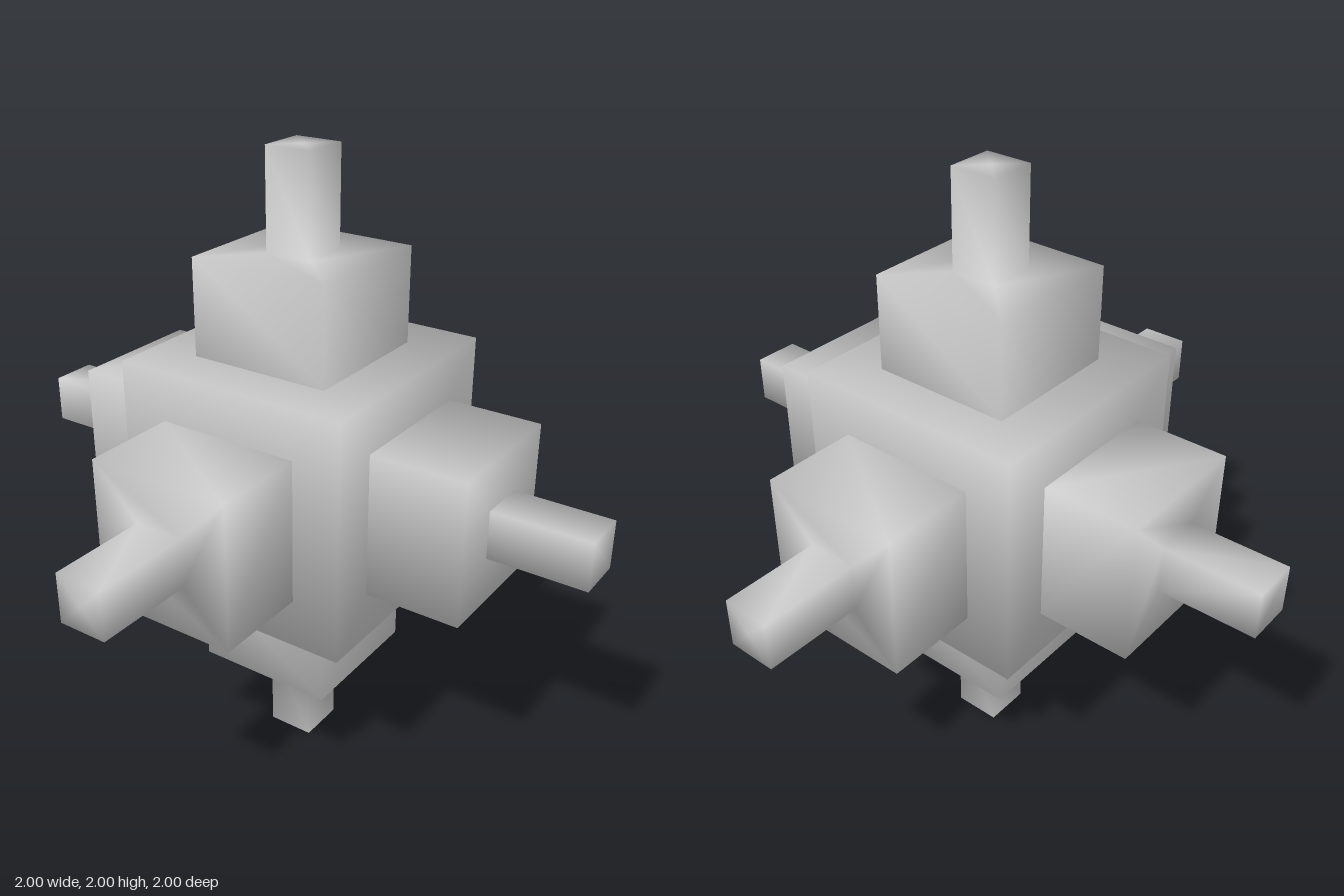
import * as THREE from 'three';
import { mergeVertices } from 'three/addons/utils/BufferGeometryUtils.js';

const CORE = 0.385, BLOCK = 0.23, SHOULDER = 0.69, SPIKE = 0.077, TIP = 1;

// Join coincident corners so shading flows across the edges
function weld(geometry) {
  geometry.deleteAttribute('uv');
  geometry.deleteAttribute('normal');
  const welded = mergeVertices(geometry, 1e-4);
  welded.computeVertexNormals();
  return welded;
}

// Box with one smooth normal per corner, pointing along the corner's diagonal
function smoothBox(w, h, d) {
  const geometry = weld(new THREE.BoxGeometry(w, h, d));
  const p = geometry.attributes.position, n = geometry.attributes.normal;
  const k = 1 / Math.sqrt(3);
  for (let i = 0; i < p.count; i++) {
    n.setXYZ(i, Math.sign(p.getX(i)) * k, Math.sign(p.getY(i)) * k, Math.sign(p.getZ(i)) * k);
  }
  return geometry;
}

// Square block stepping in to a square spike, pointing along +y
function steppedArm() {
  const profile = [[BLOCK, CORE], [BLOCK, SHOULDER], [SPIKE, SHOULDER], [SPIKE, TIP], [0, TIP]]
    .map(([half, y]) => new THREE.Vector2(half * Math.SQRT2, y));
  return weld(new THREE.LatheGeometry(profile, 4, Math.PI / 4));
}

export function createModel() {
  const model = new THREE.Group();
  const material = new THREE.MeshStandardMaterial({ color: 0xcccccc });
  const add = (parent, name, geometry, y = 0) => {
    const mesh = new THREE.Mesh(geometry, material);
    mesh.name = name;
    mesh.position.y = y;
    parent.add(mesh);
    return mesh;
  };

  // Central cube
  add(model, 'core', smoothBox(2 * CORE, 2 * CORE, 2 * CORE), 1);

  // Five arms, each a single stepped skin
  const up = new THREE.Vector3(0, 1, 0);
  const armGeometry = steppedArm();
  const directions = {
    topArm: [0, 1, 0], bottomArm: [0, -1, 0], rightArm: [-1, 0, 0],
    frontArm: [0, 0, 1], backArm: [0, 0, -1],
  };
  for (const [name, dir] of Object.entries(directions)) {
    add(model, name, armGeometry, 1).quaternion.setFromUnitVectors(up, new THREE.Vector3(...dir));
  }

  // Left arm, made of two separate boxes
  const leftArm = new THREE.Group();
  leftArm.name = 'leftArm';
  leftArm.position.y = 1;
  leftArm.rotation.z = -Math.PI / 2;
  add(leftArm, 'leftBlock', smoothBox(2 * BLOCK, SHOULDER - CORE, 2 * BLOCK), (SHOULDER + CORE) / 2);
  add(leftArm, 'leftSpike', smoothBox(2 * SPIKE, TIP - SHOULDER, 2 * SPIKE), (TIP + SHOULDER) / 2);
  model.add(leftArm);

  return model;
}
